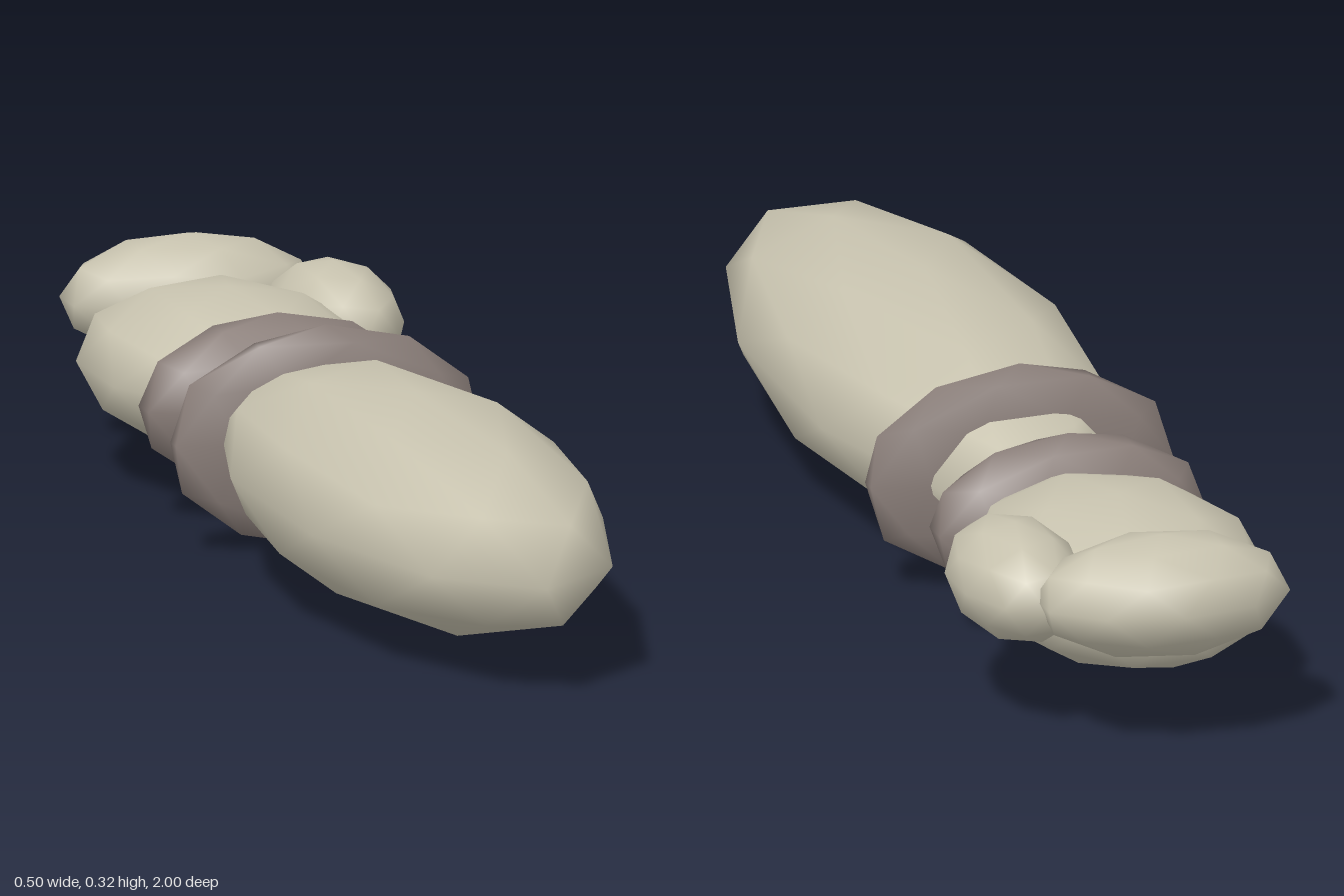
import * as THREE from 'three';

export function createModel() {
  const bone = new THREE.MeshStandardMaterial({ color: 0xc8c3af });
  bone.name = 'pale bone';
  const band = new THREE.MeshStandardMaterial({ color: 0x8a7e79 });
  band.name = 'grey brown';

  const group = new THREE.Group();
  group.name = 'arm';

  // Smooth low-poly ellipsoid: an icosphere turned so one corner points straight up
  const tilt = Math.atan(2 / (1 + Math.sqrt(5)));
  function ellipsoid(name, material, centre, radii) {
    const geometry = new THREE.IcosahedronGeometry(1, 1);
    geometry.rotateZ(-tilt);
    geometry.scale(...radii);
    const mesh = new THREE.Mesh(geometry, material);
    mesh.name = name;
    mesh.position.set(...centre);
    group.add(mesh);
  }

  // Long limb and its two bands
  ellipsoid('forearm', bone, [-0.025, 0.165, 0.335], [0.229, 0.156, 0.665]);
  ellipsoid('cuff', band, [-0.025, 0.1625, -0.13], [0.239, 0.1625, 0.046]);
  ellipsoid('wrist', band, [-0.026, 0.165, -0.367], [0.211, 0.13, 0.082]);

  // Hand
  ellipsoid('palm', bone, [-0.026, 0.166, -0.615], [0.211, 0.118, 0.31]);
  ellipsoid('fingers', bone, [-0.01, 0.217, -0.88], [0.19, 0.09, 0.12]);
  ellipsoid('thumb', bone, [0.16, 0.205, -0.715], [0.095, 0.085, 0.165]);

  return group;
}
